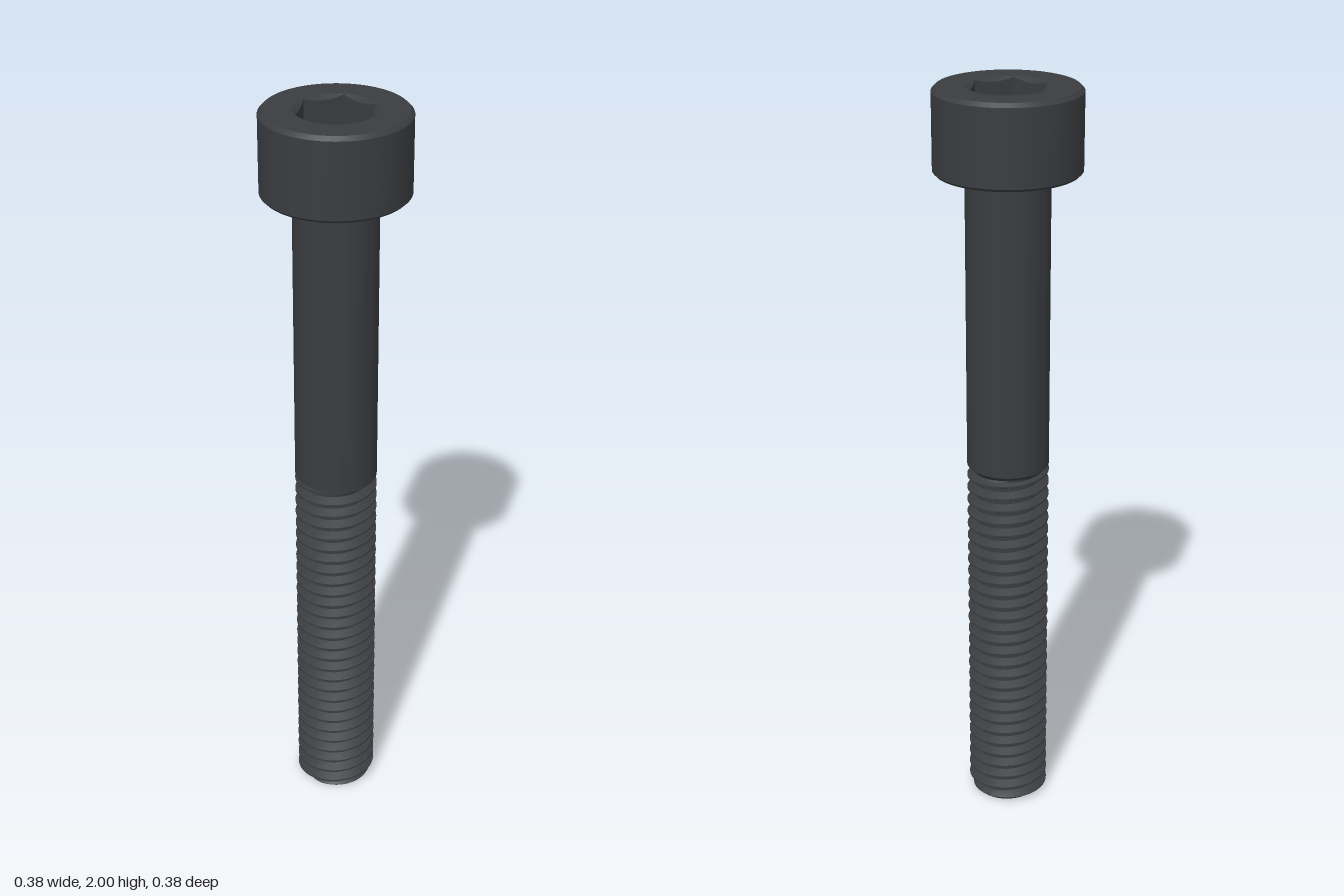
import * as THREE from 'three';
import { toCreasedNormals } from 'three/addons/utils/BufferGeometryUtils.js';

const SEGMENTS = 72;
const material = new THREE.MeshStandardMaterial({ color: 0x3a3c40 });

// Skin a stack of rings; ring(i, t) returns [radius, height] at angle t
function skin(name, count, ring) {
  const point = (i, j) => {
    const t = (j / SEGMENTS) * Math.PI * 2;
    const [r, y] = ring(i, t);
    return new THREE.Vector3(r * Math.cos(t), y, -r * Math.sin(t));
  };
  const positions = [];
  const triangle = (a, b, c) => {
    const area = b.clone().sub(a).cross(c.clone().sub(a)).length();
    if (area > 1e-9) for (const p of [a, b, c]) positions.push(p.x, p.y, p.z);
  };
  for (let i = 0; i < count - 1; i++) {
    for (let j = 0; j < SEGMENTS; j++) {
      const a = point(i, j), b = point(i, j + 1);
      const c = point(i + 1, j + 1), d = point(i + 1, j);
      triangle(a, b, c);
      triangle(a, c, d);
    }
  }
  const geometry = new THREE.BufferGeometry();
  geometry.setAttribute('position', new THREE.Float32BufferAttribute(positions, 3));
  const mesh = new THREE.Mesh(toCreasedNormals(geometry, 0.45), material);
  mesh.name = name;
  return mesh;
}

// Right-handed helical thread with a chamfered, closed tip
function makeThread() {
  const turns = 28, length = 1, pitch = length / turns;
  const crest = 0.108, root = 0.086, tip = 0.093;
  const phases = [1 / 16, 7 / 32, 3 / 8, 5 / 8, 25 / 32, 15 / 16];
  const rows = (turns + 2) * phases.length;
  return skin('thread', rows + 1, (i, t) => {
    if (i === 0) return [0, 0];
    const k = i - 1;
    const turn = Math.floor(k / phases.length) - 1 + phases[k % phases.length];
    const y = THREE.MathUtils.clamp(pitch * (turn - 1 / 16 + t / (Math.PI * 2)), 0, length);
    // distance from the crest centre, in pitches
    const f = THREE.MathUtils.euclideanModulo(y / pitch - t / (Math.PI * 2) + 1 / 16, 1);
    const d = Math.min(f, 1 - f);
    const flank = THREE.MathUtils.clamp((d - 1 / 16) / (5 / 16), 0, 1);
    let r = crest + (root - crest) * flank;
    r = Math.min(r, tip + y); // tip chamfer
    r = Math.max(r, crest - (length - y)); // run-out into the shank
    return [r, y];
  });
}

// Plain shank
function makeShank() {
  const profile = [[0.108, 1], [0.108, 1.79]];
  return skin('shank', profile.length, (i) => profile[i]);
}

// Cylindrical head with chamfered rims and a countersunk hexagonal socket
function makeHead() {
  const profile = [
    [0.1, 1.786], [0.181, 1.786], [0.188, 1.793],
    [0.188, 1.99], [0.178, 2], [0.105, 2],
  ];
  const apothem = 0.0895, floor = 1.89;
  const side = Math.PI / 3;
  return skin('head', profile.length + 3, (i, t) => {
    if (i < profile.length) return profile[i];
    const hex = apothem / Math.cos(THREE.MathUtils.euclideanModulo(t + 1e-9, side) - side / 2);
    if (i === profile.length) return [hex, 2 - (0.105 - hex) * 0.6];
    return i === profile.length + 1 ? [hex, floor] : [0, floor];
  });
}

export function createModel() {
  const group = new THREE.Group();
  group.name = 'socketHeadScrew';
  group.add(makeThread(), makeShank(), makeHead());
  return group;
}
